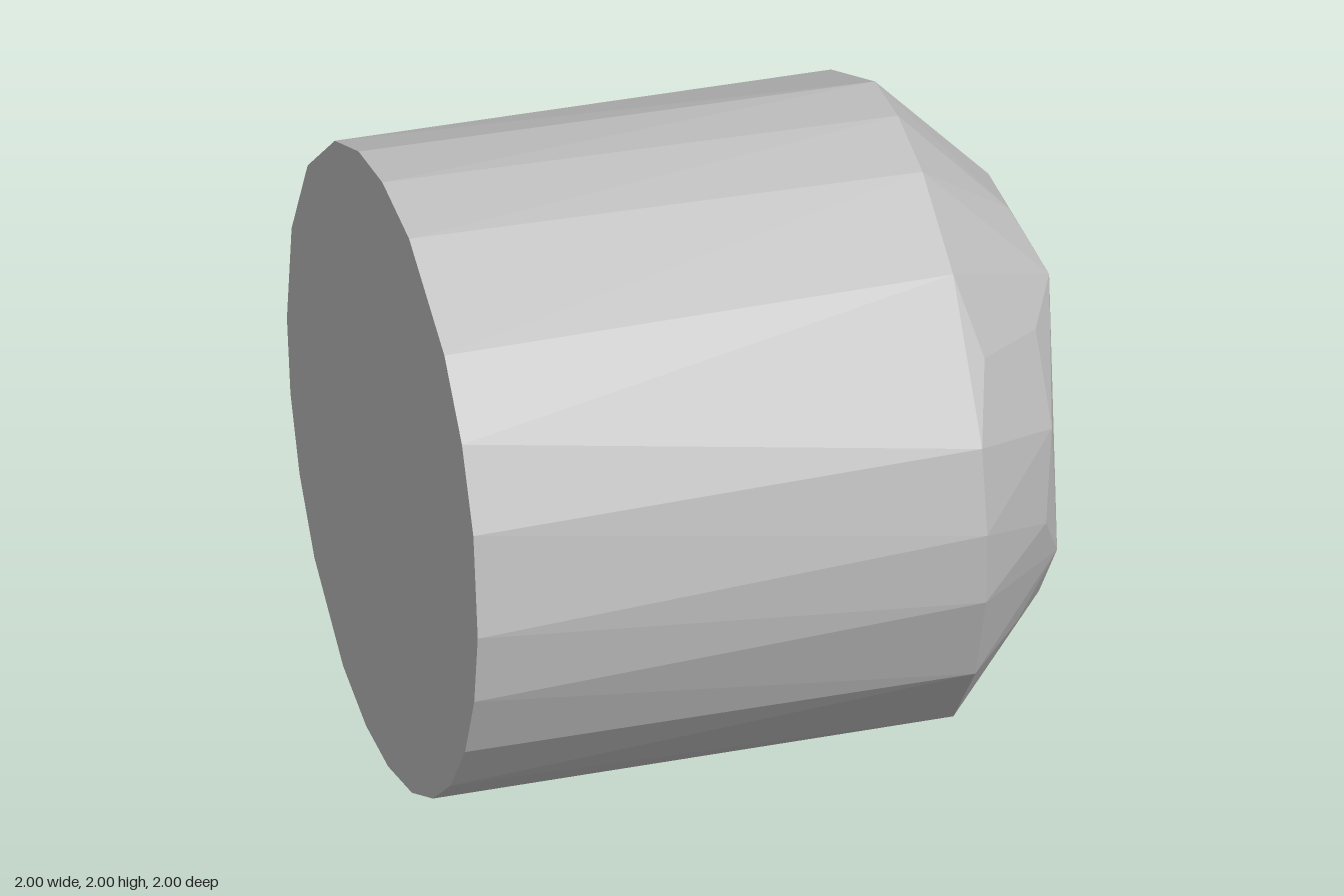
import * as THREE from 'three';
import { ConvexGeometry } from 'three/addons/geometries/ConvexGeometry.js';

// All outlines are [z, y] pairs around the plug's axis at y = 1.
const REAR = [
  [0.28, 1.96], [0.65, 1.76], [0.83, 1.55], [0.95, 1.3], [1, 0.97], [0.96, 0.73], [0.87, 0.5],
  [0.71, 0.3], [0.53, 0.15], [0.31, 0.05], [0.06, 0], [-0.17, 0.015], [-0.41, 0.09], [-0.71, 0.3],
  [-0.87, 0.5], [-0.96, 0.73], [-1, 0.97], [-0.95, 1.31], [-0.78, 1.62], [-0.5, 1.87],
  [-0.25, 1.97], [0, 2],
];
const RIM = [
  [0.06, 2], [0.32, 1.95], [0.64, 1.77], [0.94, 1.33], [1, 1.06], [0.98, 0.82], [0.87, 0.51],
  [0.64, 0.235], [0.31, 0.06], [0.06, 0], [-0.17, 0.015], [-0.41, 0.09], [-0.64, 0.235],
  [-0.87, 0.51], [-0.98, 0.82], [-1, 1.06], [-0.94, 1.33], [-0.64, 1.77], [-0.18, 1.985],
];
// Facet corners lying on the 45 degree chamfer
const CHAMFER = [
  [0.77, 1.54], [-0.77, 1.54], [-0.41, 1.84], [0.53, 1.47], [-0.52, 1.47], [0.67, 1.2],
  [-0.67, 1.18], [0.73, 0.91], [-0.73, 0.91], [0.67, 0.55], [-0.67, 0.55], [0.38, 0.28],
  [-0.37, 0.29], [0.07, 0.31], [0.13, 1.66],
];
// Corners of the slightly tilted end face, as [x, z, y]
const END_FACE = [
  [1, 0.31, 1.52], [0.965, -0.21, 1.585], [0.935, 0.61, 0.74], [0.93, -0.61, 0.74],
  [0.935, 0.42, 0.49], [0.93, -0.42, 0.49], [0.93, -0.17, 0.355],
];

// Snap an outline to the unit circle at a given x
function ring(x, outline) {
  return outline.map(([z, y]) => {
    const r = Math.hypot(z, y - 1);
    return new THREE.Vector3(x, 1 + (y - 1) / r, z / r);
  });
}

export function createModel() {
  const grey = new THREE.MeshStandardMaterial({ color: 0xc0c0c0 });
  grey.name = 'grey';

  const points = [
    ...ring(-1, REAR),
    ...ring(0.6, RIM),
    ...CHAMFER.map(([z, y]) => new THREE.Vector3(1.6 - Math.hypot(z, y - 1), y, z)),
    ...END_FACE.map(([x, z, y]) => new THREE.Vector3(x, y, z)),
  ];

  // Faceted cylinder with an irregular chamfered end
  const plug = new THREE.Mesh(new ConvexGeometry(points), grey);
  plug.name = 'chamferedCylinder';

  const model = new THREE.Group();
  model.name = 'plug';
  model.add(plug);
  return model;
}
